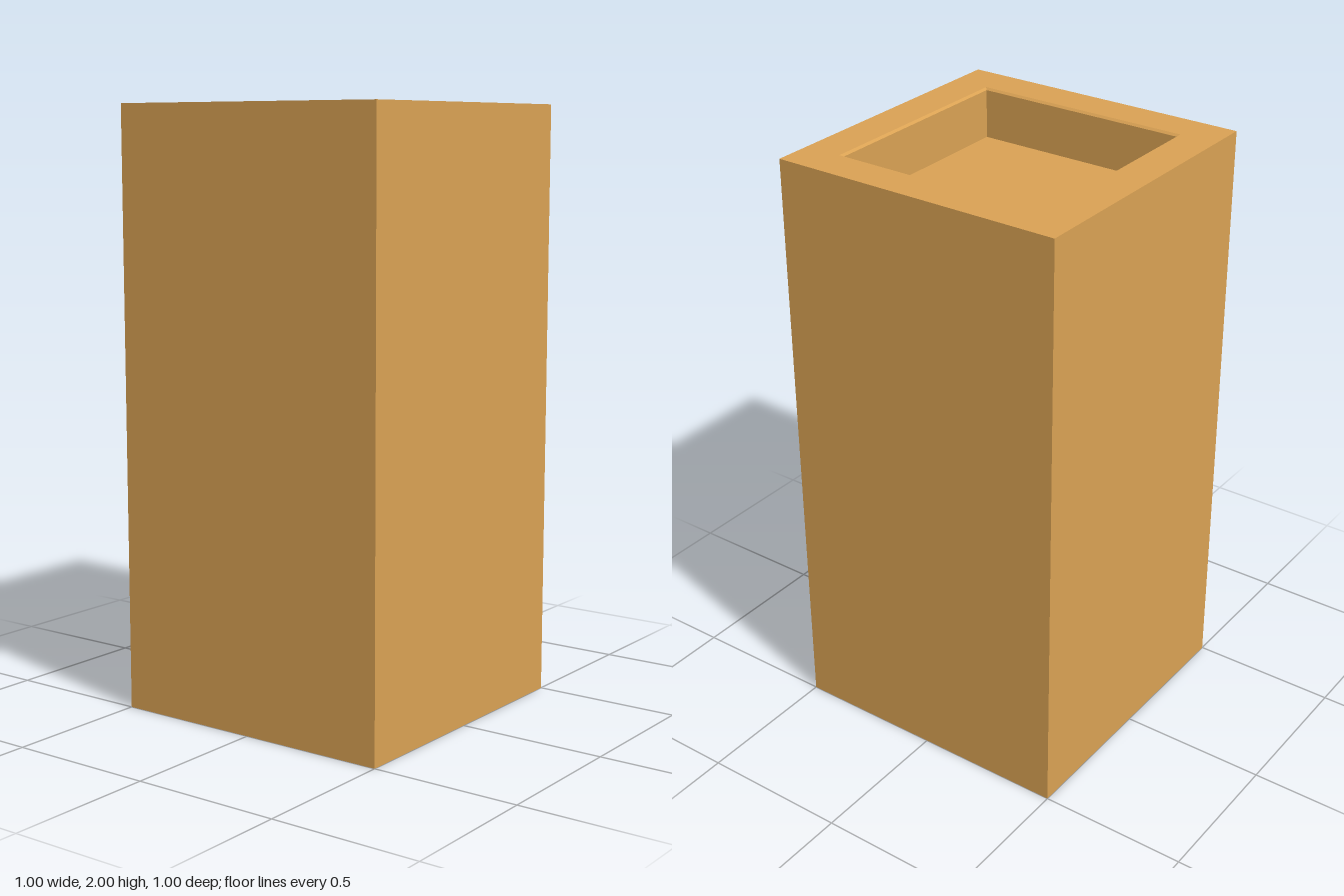
import * as THREE from 'three';

const HALF = 0.5, HEIGHT = 2;
const OPENING = 0.366, BEVEL = 0.007, DEPTH = 0.17;

// Square solid swept from a [half-width, y] profile: a four-sided lathe with flat faces.
function squareLathe(name, profile, material) {
  const points = profile.map(([half, y]) => new THREE.Vector2(half * Math.SQRT2, y));
  const geometry = new THREE.LatheGeometry(points, 4, Math.PI / 4).toNonIndexed();
  geometry.computeVertexNormals();
  const mesh = new THREE.Mesh(geometry, material);
  mesh.name = name;
  return mesh;
}

export function createModel() {
  const model = new THREE.Group();
  model.name = 'squarePillar';
  const wood = new THREE.MeshStandardMaterial({ color: 0xdaa254, flatShading: true });

  // Closed base, four outer walls and the flat top rim
  model.add(squareLathe('body', [
    [0, 0],
    [HALF, 0],
    [HALF, HEIGHT],
    [OPENING + BEVEL, HEIGHT],
  ], wood));

  // Shallow square recess with a fine bevel around its mouth
  model.add(squareLathe('topRecess', [
    [OPENING + BEVEL, HEIGHT],
    [OPENING, HEIGHT - BEVEL],
    [OPENING, HEIGHT - DEPTH],
    [0, HEIGHT - DEPTH],
  ], wood));

  return model;
}
